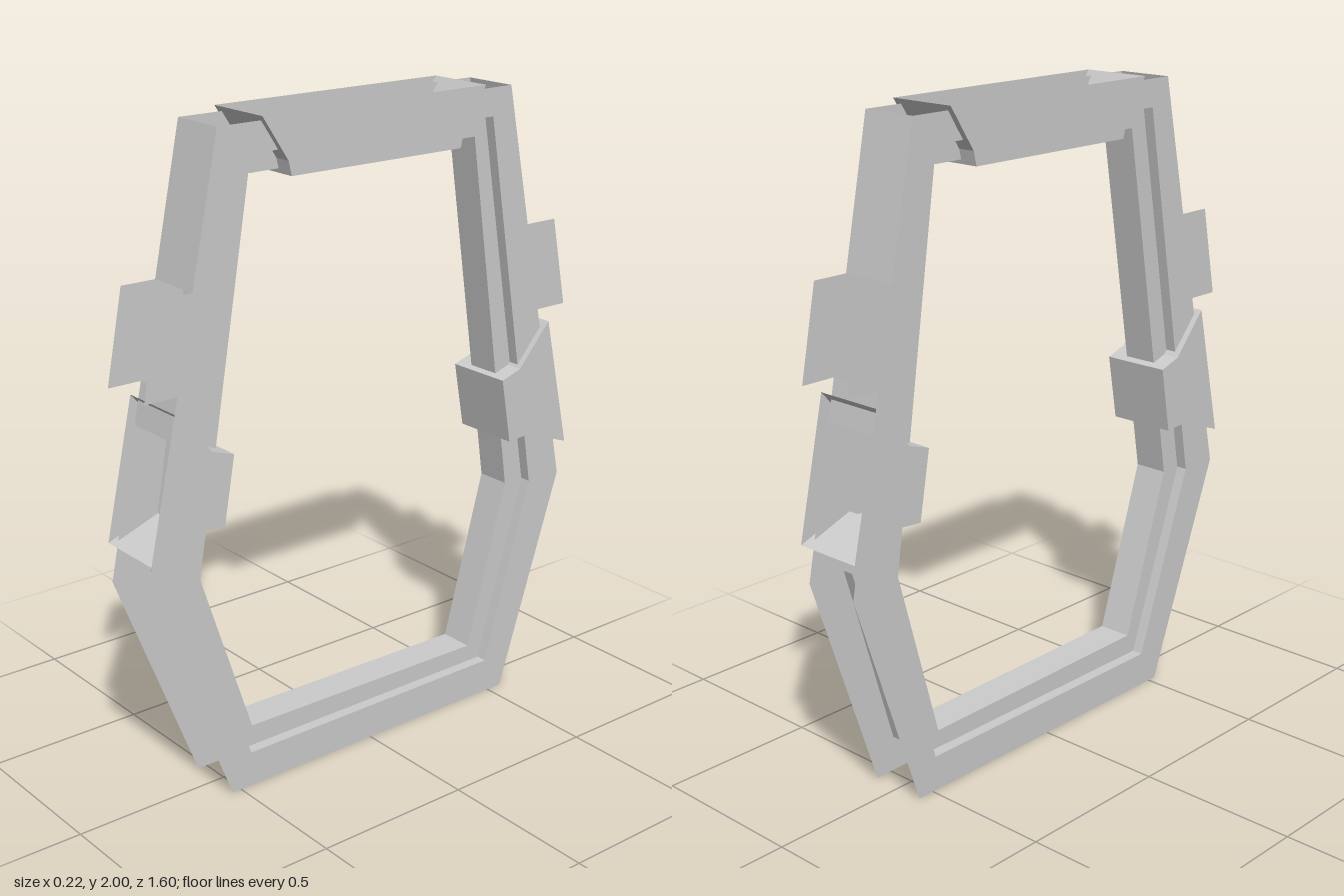
import * as THREE from 'three';

const material = new THREE.MeshStandardMaterial({ color: 0xcccccc, side: THREE.DoubleSide, flatShading: true });

// Paths are lists of [z, y] points; a strip joins path a at x = xa to path b at x = xb.
function strip(a, xa, b, xb, closed) {
  const pos = [];
  const count = closed ? a.length : a.length - 1;
  for (let i = 0; i < count; i++) {
    const j = (i + 1) % a.length;
    const p = [xa, a[i][1], a[i][0]], q = [xa, a[j][1], a[j][0]];
    const r = [xb, b[j][1], b[j][0]], s = [xb, b[i][1], b[i][0]];
    pos.push(...p, ...q, ...r, ...p, ...r, ...s);
  }
  const geometry = new THREE.BufferGeometry();
  geometry.setAttribute('position', new THREE.Float32BufferAttribute(pos, 3));
  geometry.computeVertexNormals();
  return geometry;
}

// Flat plate in the z-y plane at the given x
function plate(points, x) {
  const shape = new THREE.Shape(points.map(([z, y]) => new THREE.Vector2(z, y)));
  return new THREE.ShapeGeometry(shape).rotateY(-Math.PI / 2).translate(x, 0, 0);
}

function add(group, name, geometry) {
  const mesh = new THREE.Mesh(geometry, material);
  mesh.name = name;
  group.add(mesh);
}

// Open tray: two side plates joined by a folded strip, open between last and first point
function clip(name, points, halfWidth) {
  const group = new THREE.Group();
  group.name = name;
  add(group, name + 'Shell', strip(points, -halfWidth, points, halfWidth, false));
  for (const s of [-1, 1]) add(group, name + 'Side', plate(points, s * halfWidth));
  return group;
}

export function createModel() {
  const model = new THREE.Group();
  model.name = 'hexagonalFrame';
  const W = 0.09, G = 0.055, C = 0.11; // half widths: flanges, groove, clips

  // Nested outlines of the ring
  const outer = [[0.53, 0], [0.8, 0.7], [0.528, 1.985], [-0.53, 1.985], [-0.787, 0.7], [-0.555, 0]];
  const mid = [[0.46, 0.11], [0.67, 0.7], [0.458, 1.9], [-0.46, 1.9], [-0.66, 0.7], [-0.487, 0.11]];
  const inner = [[0.43, 0.175], [0.6, 0.7], [0.405, 1.84], [-0.42, 1.84], [-0.587, 0.7], [-0.44, 0.165]];

  // Stepped channel, open to the outside
  const ring = new THREE.Group();
  ring.name = 'channelRing';
  model.add(ring);
  for (const s of [-1, 1]) {
    add(ring, 'flange', strip(outer, s * W, mid, s * W, true));
    add(ring, 'step', strip(mid, s * W, mid, s * G, true));
    add(ring, 'grooveWall', strip(mid, s * G, inner, s * G, true));
  }
  add(ring, 'grooveFloor', strip(inner, -G, inner, G, true));

  // Point on the upper outer edge of the front (1) or back (-1) post
  const edge = (side, y) => {
    const [a, b] = side > 0 ? [outer[1], outer[2]] : [outer[4], outer[3]];
    return [THREE.MathUtils.lerp(a[0], b[0], (y - a[1]) / (b[1] - a[1])), y];
  };

  for (const side of [1, -1]) {
    const prefix = side > 0 ? 'front' : 'back';

    // Cover plates closing parts of the channel
    for (const [y0, y1] of [[1.15, 1.273], [1.553, 1.985]]) {
      const path = [edge(side, y0), edge(side, y1)];
      add(model, prefix + 'Cover', strip(path, -W, path, W, false));
    }

    // Paired wings standing out from the flanges
    const wing = [edge(side, 1.273), [side * 0.785, 1.273], [side * 0.73, 1.553], edge(side, 1.553)];
    for (const s of [-1, 1]) add(model, prefix + 'Wing', plate(wing, s * W));

    // Clip around the post
    const profile = [[0.795, 0.812], [0.628, 0.873], [0.548, 0.866], [0.511, 1.076], [0.585, 1.1], [0.702, 1.233]];
    model.add(clip(prefix + 'Clip', profile.map(([z, y]) => [side * z, y]), C));
  }

  // Clip around the top bar
  model.add(clip('topClip', [[0.395, 2], [0.31, 1.87], [0.3, 1.827], [-0.315, 1.827], [-0.325, 1.87], [-0.41, 2]], C));
  return model;
}
